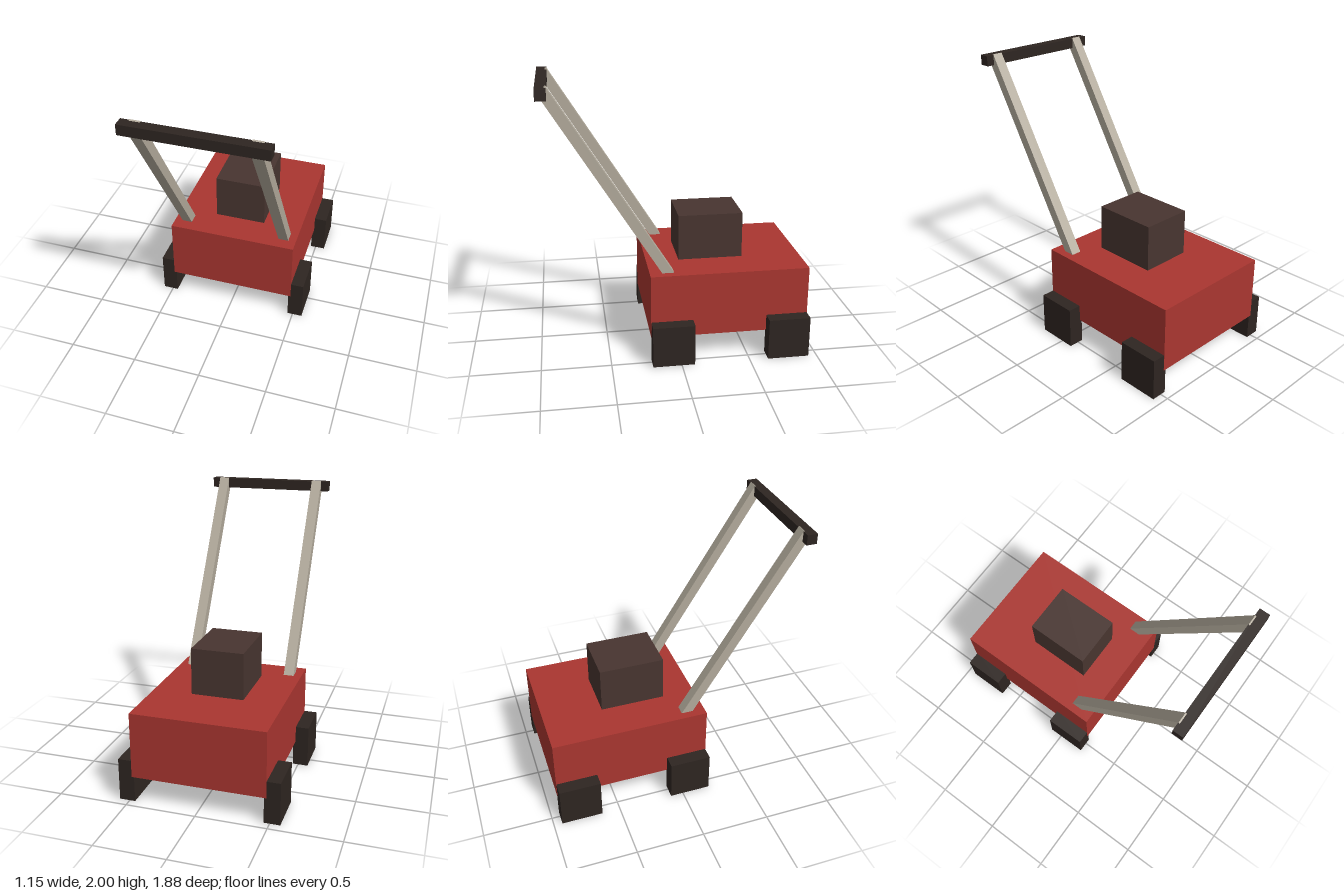
import * as THREE from 'three';

const paint = (color) => new THREE.MeshStandardMaterial({ color, flatShading: true });

export function createModel() {
  const model = new THREE.Group();
  model.name = 'lawnMower';

  const red = paint(0xaa3630);
  const brown = paint(0x483530);
  const dark = paint(0x2e2521);
  const metal = paint(0xb3ab9c);

  // Box given by its [min, max] range on each axis
  function block(name, material, [x0, x1], [y0, y1], [z0, z1]) {
    const mesh = new THREE.Mesh(new THREE.BoxGeometry(x1 - x0, y1 - y0, z1 - z0), material);
    mesh.position.set((x0 + x1) / 2, (y0 + y1) / 2, (z0 + z1) / 2);
    mesh.name = name;
    model.add(mesh);
    return mesh;
  }

  // Body
  block('deck', red, [-0.477, 0.477], [0.186, 0.66], [-0.94, 0.21]);
  block('engine', brown, [-0.19, 0.19], [0.65, 1.0], [-0.505, -0.03]);

  // Crossbar gripped by the user
  block('handleBar', dark, [-0.477, 0.477], [1.92, 1.994], [0.865, 0.94]);

  // Slanted handle post, from inside the deck up to the crossbar
  const foot = new THREE.Vector3(0, 0.6, 0.041);
  const tip = new THREE.Vector3(0, 1.981, 0.898);
  const slope = new THREE.Vector3().subVectors(tip, foot);

  for (const [side, s] of [['left', 1], ['right', -1]]) {
    const post = new THREE.Mesh(new THREE.BoxGeometry(0.075, slope.length(), 0.072), metal);
    post.position.addVectors(foot, tip).multiplyScalar(0.5);
    post.position.x = s * 0.382;
    post.rotation.x = Math.atan2(slope.z, slope.y);
    post.name = side + 'HandlePost';
    model.add(post);

    // Block wheels, slightly sunk into the deck sides
    const x = s > 0 ? [0.46, 0.573] : [-0.573, -0.46];
    block(side + 'HandleSideWheel', dark, x, [0, 0.307], [-0.095, 0.208]);
    block(side + 'FarWheel', dark, x, [0, 0.307], [-0.938, -0.635]);
  }

  return model;
}
